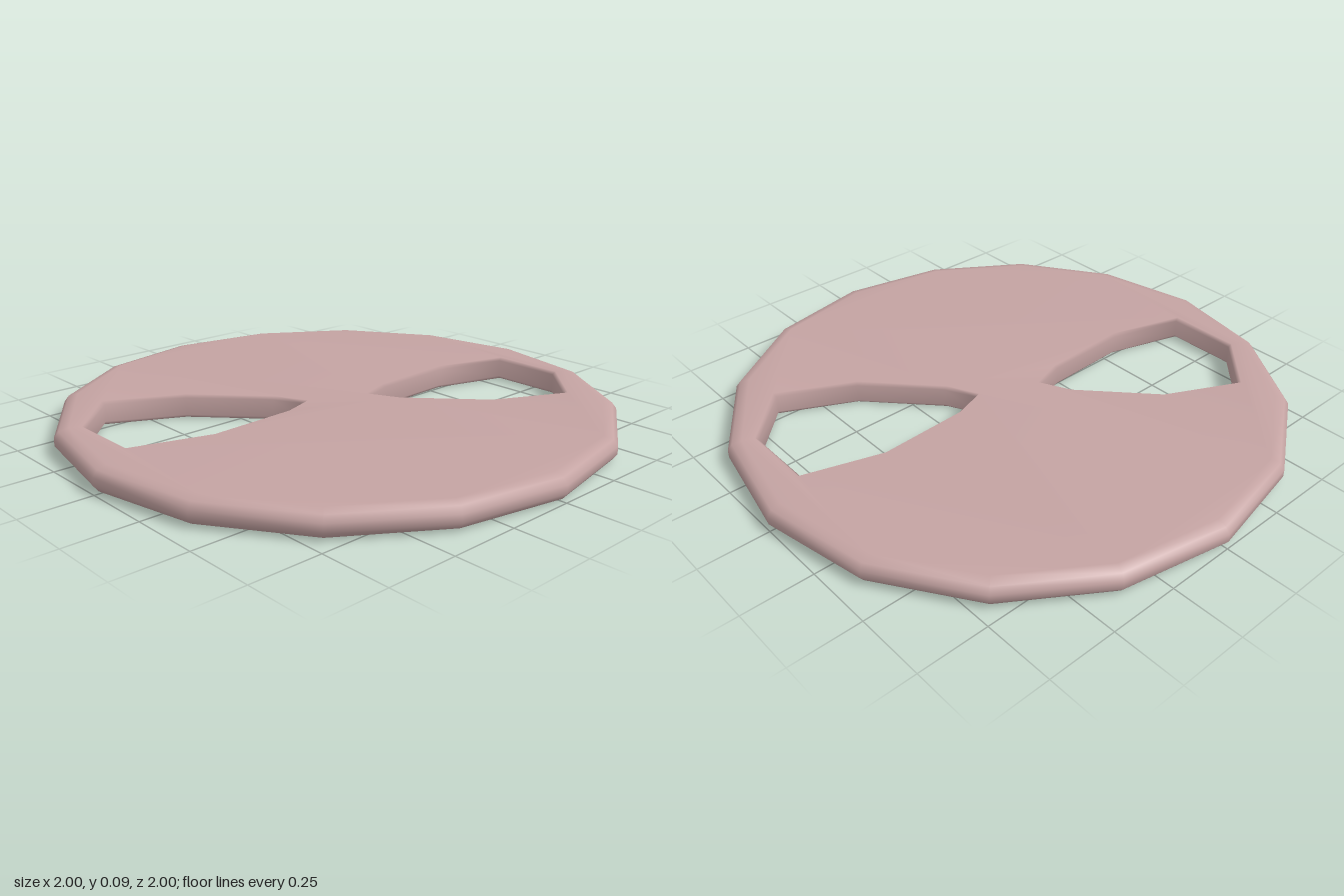
import * as THREE from 'three';

const HEIGHT = 0.088;
const SIDES = 16;

// Half-profiles from top to bottom: [distance from the widest/narrowest contour, height]
const rimProfile = [[0.05, HEIGHT], [0.016, 0.079], [0, 0.058], [0, 0.03], [0.016, 0.009], [0.05, 0]];
const holeProfile = [[0.012, HEIGHT], [0, 0.076], [0, 0.012], [0.012, 0]];

// Outline of one slot in x, z
const slot = [[0, -0.55], [0.01, -0.235], [0.048, -0.115], [0.16, -0.172],
  [0.39, -0.39], [0.525, -0.647], [0.342, -0.826], [0.08, -0.826]];

// Move a contour's points away from or towards its middle
function offset(points, distance) {
  const middle = points.reduce((sum, p) => sum.add(p), new THREE.Vector2()).divideScalar(points.length);
  return points.map((p) => p.clone().add(p.clone().sub(middle).setLength(distance)));
}

function createPlateGeometry() {
  const rim = Array.from({ length: SIDES }, (_, i) => {
    const a = (i / SIDES) * Math.PI * 2;
    return new THREE.Vector2(Math.cos(a), Math.sin(a));
  });
  const holes = [1, -1].map((s) => slot.map(([x, z]) => new THREE.Vector2(s * x, s * z)));

  const positions = [];
  const index = [];
  const topIds = [];
  const bottomIds = [];

  // Walls: loops of the contour stacked from top to bottom
  function addWall(contour, profile, sign) {
    const n = contour.length;
    const start = positions.length / 3;
    profile.forEach(([d, y]) => {
      offset(contour, sign * d).forEach((p) => positions.push(p.x, y, p.y));
    });
    for (let r = 0; r < profile.length - 1; r++) {
      for (let i = 0; i < n; i++) {
        const a = start + r * n + i;
        const b = start + r * n + ((i + 1) % n);
        index.push(a, b, a + n, b, b + n, a + n);
      }
    }
    for (let i = 0; i < n; i++) {
      topIds.push(start + i);
      bottomIds.push(start + (profile.length - 1) * n + i);
    }
  }
  addWall(rim, rimProfile, -1);
  holes.forEach((hole) => addWall(hole, holeProfile, 1));

  // Flat faces sharing the wall vertices, so the shading rolls over the edges
  const faces = THREE.ShapeUtils.triangulateShape(
    offset(rim, -rimProfile[0][0]),
    holes.map((hole) => offset(hole, holeProfile[0][0])),
  );
  faces.forEach(([a, b, c]) => {
    index.push(topIds[a], topIds[c], topIds[b]);
    index.push(bottomIds[a], bottomIds[b], bottomIds[c]);
  });

  const geometry = new THREE.BufferGeometry();
  geometry.setAttribute('position', new THREE.Float32BufferAttribute(positions, 3));
  geometry.setIndex(index);
  geometry.computeVertexNormals();
  return geometry;
}

export function createModel() {
  const group = new THREE.Group();
  group.name = 'slottedDisc';
  const plate = new THREE.Mesh(
    createPlateGeometry(),
    new THREE.MeshStandardMaterial({ color: 0xc4a3a2 }),
  );
  plate.name = 'plate';
  group.add(plate);
  return group;
}
